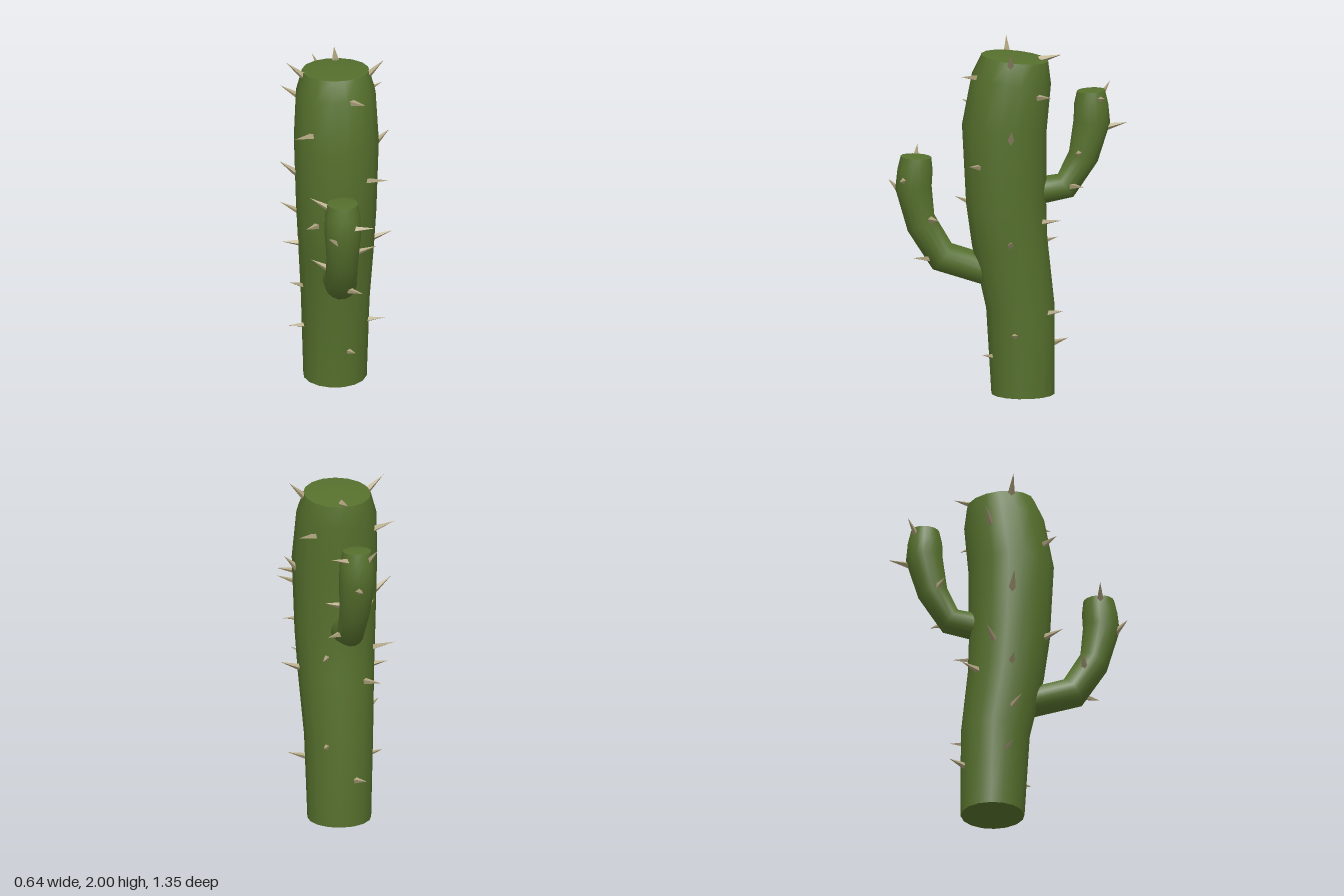
import * as THREE from 'three';

const SIDES = 16;

// Smooth stem lofted through tilted rings [z, y, radius, tilt in degrees towards +z], with crisp caps
function stem(rings, dome) {
  const pos = [], idx = [];
  const ring = ([z, y, r, tilt]) => {
    const a = THREE.MathUtils.degToRad(tilt);
    for (let j = 0; j < SIDES; j++) {
      const t = ((j + 0.5) / SIDES) * Math.PI * 2;
      const s = r * Math.sin(t);
      pos.push(r * Math.cos(t), y - s * Math.sin(a), z + s * Math.cos(a));
    }
  };
  rings.forEach(ring);
  for (let i = 0; i < rings.length - 1; i++) {
    for (let j = 0; j < SIDES; j++) {
      const a = i * SIDES + j, b = i * SIDES + (j + 1) % SIDES;
      idx.push(a, a + SIDES, b, b, a + SIDES, b + SIDES);
    }
  }
  const cap = (r, lift, up) => {
    const start = pos.length / 3;
    ring(r);
    pos.push(0, r[1] + lift, r[0]);
    for (let j = 0; j < SIDES; j++) {
      const a = start + j, b = start + (j + 1) % SIDES;
      idx.push(start + SIDES, up ? b : a, up ? a : b);
    }
  };
  cap(rings[0], 0, false);
  cap(rings[rings.length - 1], dome, true);
  const g = new THREE.BufferGeometry();
  g.setAttribute('position', new THREE.Float32BufferAttribute(pos, 3));
  g.setIndex(idx);
  g.computeVertexNormals();
  return g;
}

// Thin four-sided thorn from a base point to its tip
function thornMesh(base, tip, material) {
  const b = new THREE.Vector3(...base), t = new THREE.Vector3(...tip);
  const dir = t.clone().sub(b).normalize();
  b.addScaledVector(dir, -0.02);
  const len = b.distanceTo(t);
  const g = new THREE.ConeGeometry(0.022, len, 4).toNonIndexed();
  g.computeVertexNormals();
  const m = new THREE.Mesh(g, material);
  m.name = 'thorn';
  m.position.copy(b).add(t).multiplyScalar(0.5);
  m.quaternion.setFromUnitVectors(new THREE.Vector3(0, 1, 0), dir);
  return m;
}

export function createModel() {
  const green = new THREE.MeshStandardMaterial({ color: 0x56702d });
  green.name = 'cactusGreen';
  const tan = new THREE.MeshStandardMaterial({ color: 0xb0a47f });
  tan.name = 'thornTan';
  const model = new THREE.Group();
  model.name = 'cactus';

  const addStem = (name, rings, dome) => {
    const m = new THREE.Mesh(stem(rings, dome), green);
    m.name = name;
    model.add(m);
  };
  addStem('trunk', [
    [-0.08, 0, 0.18, 0], [-0.065, 0.5, 0.195, 5], [-0.005, 0.87, 0.216, 8],
    [0.015, 1.1, 0.228, 4], [0.025, 1.53, 0.241, -2], [-0.015, 1.81, 0.226, -6],
    [-0.035, 1.93, 0.19, -6],
  ], 0.025);
  addStem('frontArm', [
    [0.05, 0.685, 0.085, 72], [0.375, 0.79, 0.091, 53], [0.495, 0.985, 0.089, 31],
    [0.537, 1.19, 0.104, 6], [0.528, 1.29, 0.1, 0], [0.522, 1.365, 0.087, -3],
  ], 0.015);
  addStem('backArm', [
    [-0.1, 1.15, 0.08, -80], [-0.32, 1.19, 0.078, -56], [-0.42, 1.357, 0.086, -20],
    [-0.468, 1.56, 0.104, -4], [-0.464, 1.66, 0.097, 2], [-0.463, 1.735, 0.08, 3],
  ], 0.012);

  // Thorns as [base, tip]
  const trunkThorns = [
    [[0.19, 1.92, 0], [0.27, 2, 0]], [[-0.19, 1.92, 0], [-0.28, 2, 0]],
    [[0.01, 1.92, -0.19], [0.01, 1.945, -0.3]], [[0.08, 1.83, 0.19], [0.15, 1.85, 0.275]],
    [[0.17, 1.73, -0.16], [0.275, 1.75, -0.225]], [[-0.2, 1.73, -0.12], [-0.305, 1.78, -0.165]],
    [[-0.15, 1.63, 0.19], [-0.25, 1.64, 0.25]], [[0.235, 1.5, 0], [0.3, 1.565, 0]],
    [[-0.235, 1.32, 0], [-0.32, 1.385, 0]], [[0.16, 1.33, 0.17], [0.28, 1.36, 0.24]],
    [[-0.12, 1.07, 0.2], [-0.19, 1.095, 0.295]], [[-0.19, 1.01, -0.1], [-0.305, 1.05, -0.16]],
    [[0.1, 1, -0.18], [0.15, 1.02, -0.29]], [[0.21, 0.89, 0], [0.32, 0.93, 0]],
    [[-0.21, 0.87, 0], [-0.305, 0.88, 0]], [[-0.12, 0.84, -0.18], [-0.19, 0.855, -0.285]],
    [[-0.18, 0.6, 0], [-0.265, 0.645, 0.05]], [[0.11, 0.48, -0.22], [0.15, 0.5, -0.3]],
    [[0.17, 0.36, -0.03], [0.28, 0.385, 0]], [[-0.17, 0.34, -0.03], [-0.275, 0.35, 0]],
    [[-0.05, 0.275, -0.25], [-0.09, 0.295, -0.34]], [[0.06, 0.225, 0.09], [0.1, 0.24, 0.155]],
  ];
  const frontThorns = [
    [[-0.08, 1.34, 0.52], [-0.185, 1.4, 0.505]], [[0.07, 1.24, 0.595], [0.175, 1.255, 0.625]],
    [[-0.045, 1.17, 0.62], [-0.09, 1.22, 0.675]], [[0.08, 1.015, 0.44], [0.2, 1.035, 0.405]],
    [[-0.08, 0.92, 0.43], [-0.17, 0.965, 0.41]], [[0.04, 0.785, 0.45], [0.115, 0.805, 0.545]],
  ];
  const backThorns = [
    [[-0.05, 1.69, -0.52], [-0.095, 1.77, -0.575]], [[0.07, 1.695, -0.51], [0.165, 1.72, -0.53]],
    [[0.015, 1.53, -0.56], [0.02, 1.555, -0.67]], [[0.08, 1.39, -0.39], [0.165, 1.405, -0.38]],
    [[-0.08, 1.37, -0.4], [-0.125, 1.4, -0.37]], [[0.07, 1.2, -0.35], [0.155, 1.21, -0.415]],
  ];
  for (const [name, list] of [['trunkThorns', trunkThorns], ['frontArmThorns', frontThorns], ['backArmThorns', backThorns]]) {
    const g = new THREE.Group();
    g.name = name;
    for (const [base, tip] of list) g.add(thornMesh(base, tip, tan));
    model.add(g);
  }
  return model;
}
